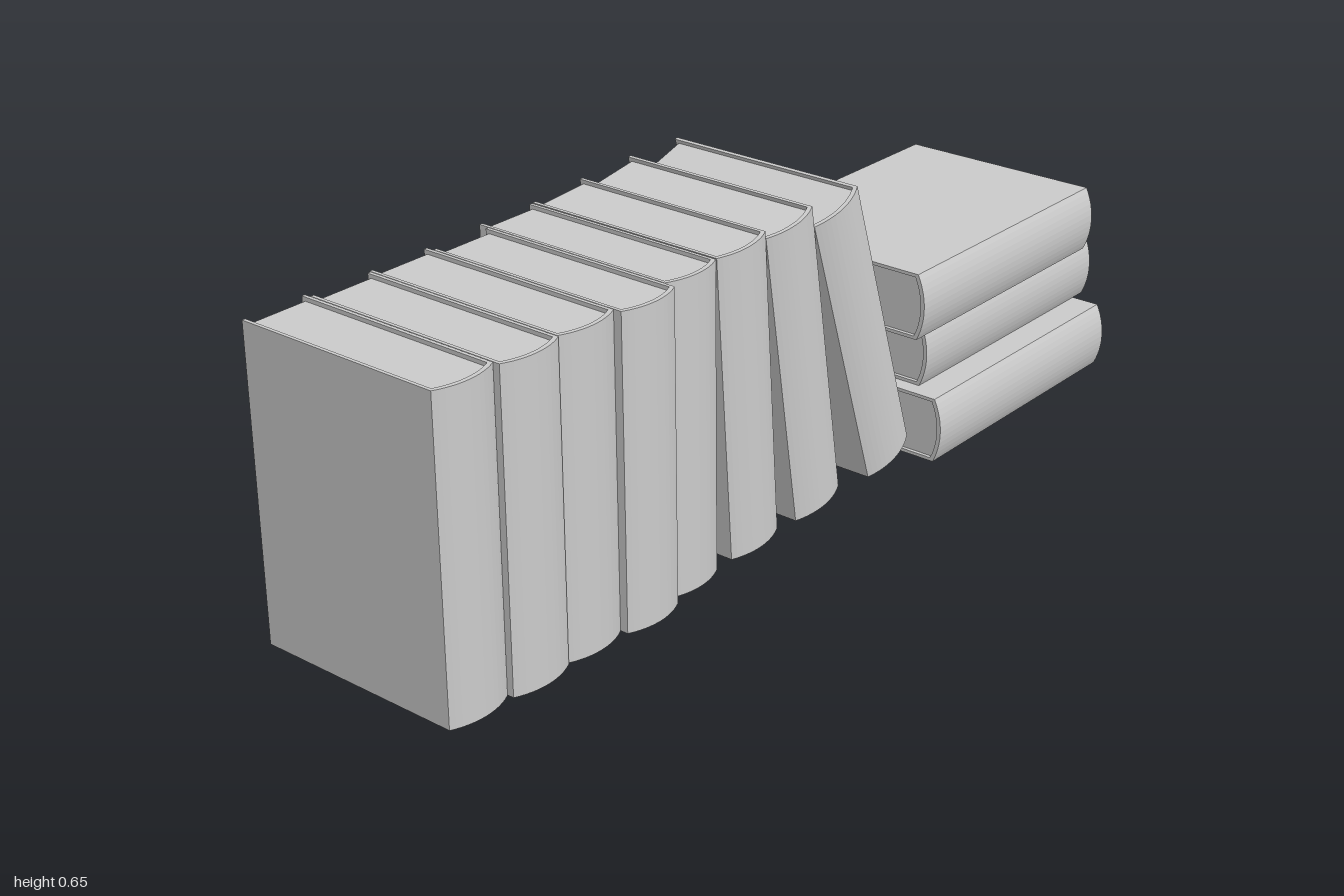
import * as THREE from 'three';

const HEIGHT = 0.632, THICK = 0.141, DEPTH = 0.466;
const BOARD = 0.007, SPINE = 0.009, INSET = 0.008, SAG = 0.017;

const half = THICK / 2;
const inner = half - BOARD;
const R = (half * half + SAG * SAG) / (2 * SAG); // spine radius
const Ri = R - SPINE;
const cz = DEPTH / 2 - R;                        // centre of the spine arc
const a = Math.asin(half / R), ai = Math.asin(inner / Ri);
const back = -DEPTH / 2;
const mid = Math.PI / 2;

// Cross-section (thickness, depth) raised along y and centred
function raise(shape, height) {
  const g = new THREE.ExtrudeGeometry(shape, { depth: height, bevelEnabled: false, curveSegments: 6 });
  g.rotateX(Math.PI / 2);
  g.translate(0, height / 2, 0);
  return g;
}

// Two boards joined by a rounded spine
function coverGeometry() {
  const s = new THREE.Shape();
  s.moveTo(inner, back);
  s.lineTo(half, back);
  s.absarc(0, cz, R, mid - a, mid + a, false);
  s.lineTo(-half, back);
  s.lineTo(-inner, back);
  s.absarc(0, cz, Ri, mid + ai, mid - ai, true);
  s.closePath();
  return raise(s, HEIGHT);
}

// Page block filling the cover, set back from its edges
function pagesGeometry() {
  const s = new THREE.Shape();
  s.moveTo(-inner, back + INSET);
  s.lineTo(inner, back + INSET);
  s.absarc(0, cz, Ri, mid - ai, mid + ai, false);
  s.closePath();
  return raise(s, HEIGHT - 2 * INSET);
}

export function createModel() {
  const model = new THREE.Group();
  model.name = 'rowOfBooks';
  const material = new THREE.MeshStandardMaterial({ color: 0xcccccc });
  const coverGeo = coverGeometry(), pagesGeo = pagesGeometry();

  function addBook(name, x, y, z, tilt) {
    const book = new THREE.Group();
    book.name = name;
    const cover = new THREE.Mesh(coverGeo, material);
    cover.name = 'cover';
    const pages = new THREE.Mesh(pagesGeo, material);
    pages.name = 'pages';
    book.add(cover, pages);
    book.position.set(x, y, z);
    book.rotation.z = tilt;
    model.add(book);
  }

  // Upright books, pushed in by different amounts
  [-0.031, -0.018, -0.022, -0.006, -0.03].forEach((z, i) =>
    addBook('uprightBook' + (i + 1), -0.929 + i * 0.1425, HEIGHT / 2, z, 0));

  // Books leaning on the row
  [[-0.195, 0.322, 0.066], [-0.0245, 0.3255, 0.157], [0.167, 0.325, 0.309]].forEach(([x, y, tilt], i) =>
    addBook('leaningBook' + (i + 1), x, y, -0.03, tilt));

  // Stack lying flat, spines to the front
  [[0.651, 0.073, 0.032], [0.684, 0.215, -0.03], [0.603, 0.358, 0.015]].forEach(([x, y, z], i) =>
    addBook('stackedBook' + (i + 1), x, y, z, Math.PI / 2));

  return model;
}
